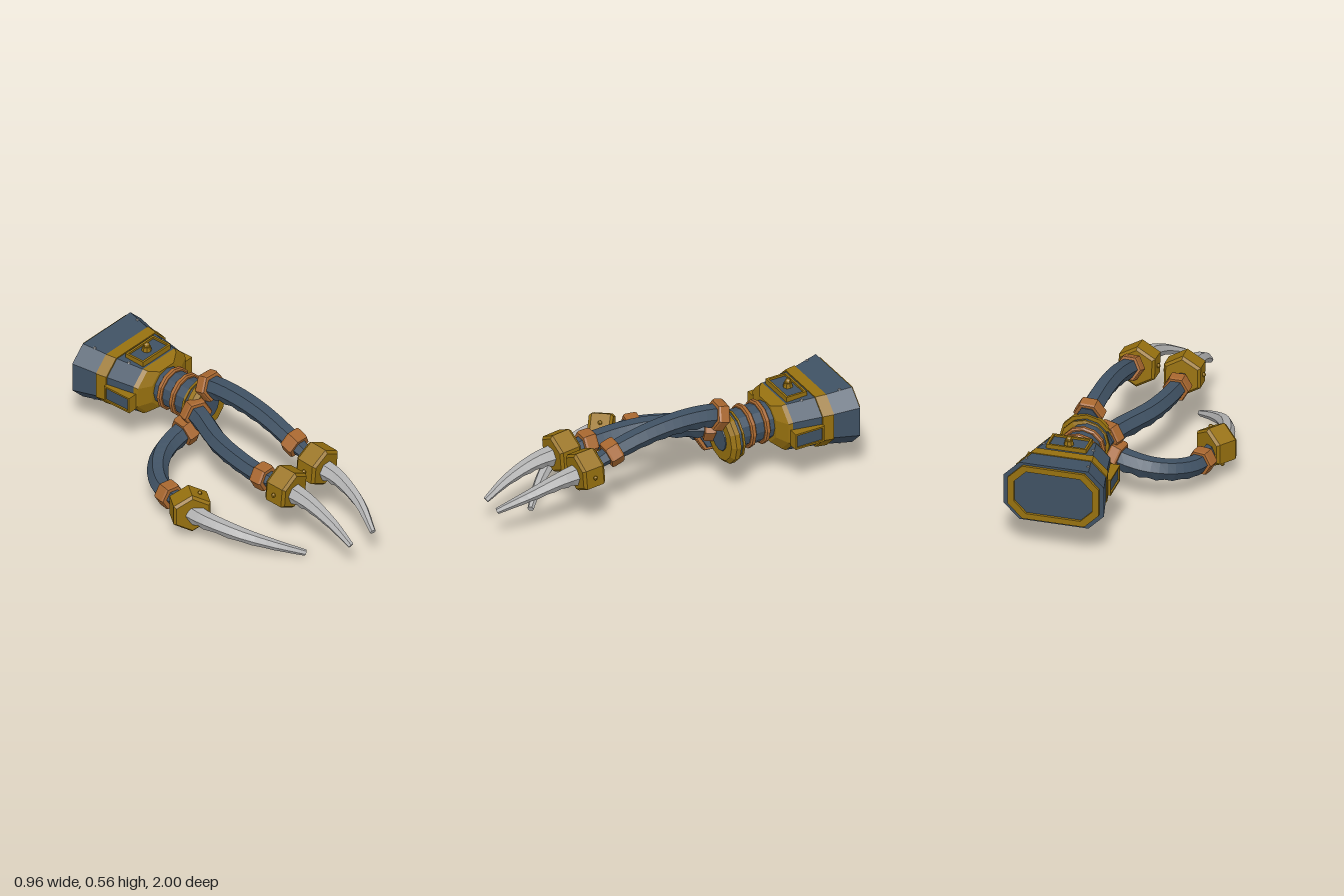
import * as THREE from 'three';

const mat = (name, color) => {
  const m = new THREE.MeshStandardMaterial({ color });
  m.name = name;
  m.flatShading = true;
  return m;
};
const V = (x, y, z) => new THREE.Vector3(x, y, z);
const UP = V(0, 1, 0);
const lerp = THREE.MathUtils.lerp;

// Closed faceted skin over a list of rings (each counter-clockwise seen from the far end)
function loft(rings) {
  const p = [];
  const tri = (...v) => v.forEach((q) => p.push(q.x, q.y, q.z));
  const n = rings[0].length;
  for (let i = 0; i < rings.length - 1; i++) {
    const a = rings[i], b = rings[i + 1];
    for (let j = 0; j < n; j++) {
      const k = (j + 1) % n;
      tri(a[j], a[k], b[k]);
      tri(a[j], b[k], b[j]);
    }
  }
  const first = rings[0], last = rings[rings.length - 1];
  for (let j = 1; j < n - 1; j++) {
    tri(first[0], first[j + 1], first[j]);
    tri(last[0], last[j], last[j + 1]);
  }
  const g = new THREE.BufferGeometry();
  g.setAttribute('position', new THREE.Float32BufferAttribute(p, 3));
  g.computeVertexNormals();
  return g;
}

// Regular ring around a centre, facing dir; under enlarges its lower half
function ring(c, dir, r, sides = 6, turn = 0, under = 1) {
  const t = dir.clone().normalize();
  const side = UP.clone().cross(t).normalize();
  const up = t.clone().cross(side);
  return Array.from({ length: sides }, (_, j) => {
    const a = turn + (j / sides) * Math.PI * 2;
    const s = Math.sin(a);
    return c.clone().addScaledVector(side, Math.cos(a) * r).addScaledVector(up, s * r * (s < -0.1 ? under : 1));
  });
}

// Short prism with a [offset, radius] profile along dir
const prism = (c, dir, profile, sides, turn) => loft(profile.map(([d, r]) =>
  ring(c.clone().addScaledVector(dir.clone().normalize(), d), dir, r, sides, turn)));

// Curved, tapering hexagonal limb with a ridged underside
function limb(curve, radius, steps, ridge) {
  const rings = [];
  for (let i = 0; i <= steps; i++) {
    const t = i / steps;
    rings.push(ring(curve.getPoint(t), curve.getTangent(t), radius(t), 6, 0, i % 2 ? 1 + ridge * (1 - t) : 1));
  }
  return loft(rings);
}

// Octagon with equal chamfers, centred on the forearm axis
const CX = 0.197, CY = 0.36;
const octPoints = (w, h, c) => [
  [w, -h + c], [w, h - c], [w - c, h], [-w + c, h], [-w, h - c], [-w, -h + c], [-w + c, -h], [w - c, -h]];
const octRing = (z, w, h, c) => octPoints(w, h, c).map(([x, y]) => V(CX + x, CY + y, z));

export function createModel() {
  const group = new THREE.Group();
  const steel = mat('blue steel', 0x3f5163);
  const brass = mat('brass', 0x96700f);
  const copper = mat('copper', 0xa8672f);
  const silver = mat('silver', 0xb2b2b2);
  const add = (name, geo, m, x = 0, y = 0, z = 0) => {
    const mesh = new THREE.Mesh(geo, m);
    mesh.name = name;
    mesh.position.set(x, y, z);
    group.add(mesh);
    return mesh;
  };
  const path = (pts) => new THREE.CatmullRomCurve3(pts.map((p) => V(...p)));

  // Flared forearm cuff with its brass band and shoulder
  add('cuff', loft([octRing(-0.985, 0.275, 0.17, 0.085), octRing(-0.82, 0.238, 0.15, 0.08),
    octRing(-0.62, 0.2, 0.14, 0.075)]), steel);
  add('cuffBand', loft([octRing(-0.842, 0.25, 0.157, 0.082), octRing(-0.78, 0.238, 0.154, 0.08)]), brass);
  add('cuffShoulder', loft([octRing(-0.62, 0.203, 0.143, 0.077), octRing(-0.6, 0.19, 0.132, 0.075),
    octRing(-0.565, 0.115, 0.112, 0.06)]), brass);

  // Open rim at the back of the cuff
  const rim = new THREE.Shape(octPoints(0.25, 0.157, 0.08).map((p) => new THREE.Vector2(...p)));
  rim.holes.push(new THREE.Path(octPoints(0.215, 0.125, 0.066).map((p) => new THREE.Vector2(...p))));
  add('rearRim', new THREE.ExtrudeGeometry(rim, { depth: 0.025, bevelEnabled: false }), brass, CX, CY, -1);

  // Rectangular frames on the sides and top
  const frame = (w, h, t, d) => {
    const s = new THREE.Shape([[-w, -h], [w, -h], [w, h], [-w, h]].map((p) => new THREE.Vector2(...p)));
    s.holes.push(new THREE.Path([[-w + t, -h + t], [-w + t, h - t], [w - t, h - t], [w - t, -h + t]]
      .map((p) => new THREE.Vector2(...p))));
    return new THREE.ExtrudeGeometry(s, { depth: d, bevelEnabled: false });
  };
  for (const s of [-1, 1]) {
    add('sideFrame', frame(0.088, 0.047, 0.01, 0.055), brass, CX + s * 0.197, 0.337, -0.695).rotation.y = s * Math.PI / 2;
    add('sidePanel', new THREE.BoxGeometry(0.05, 0.076, 0.16), steel, CX + s * 0.218, 0.337, -0.695);
  }
  add('topFrame', frame(0.11, 0.062, 0.012, 0.045), brass, CX, 0.486, -0.695).rotation.x = -Math.PI / 2;
  add('topPanel', new THREE.BoxGeometry(0.2, 0.035, 0.105), steel, CX, 0.502, -0.695);
  add('topKnobBase', new THREE.CylinderGeometry(0.022, 0.028, 0.03, 8), brass, CX, 0.53, -0.705);
  add('topKnob', new THREE.SphereGeometry(0.018, 8, 6), brass, CX, 0.55, -0.705);

  // Rivets on the cuff
  for (const sx of [-1, 1]) for (const sy of [-1, 1]) for (const [z, w, h] of [[-0.92, 0.17, 0.162], [-0.71, 0.135, 0.144]])
    add('rivet', new THREE.SphereGeometry(0.009, 6, 4), silver, CX + sx * w, CY + sy * h, z);

  // Ribbed wrist
  const FWD = V(0, 0, 1);
  add('wrist', prism(V(CX, CY, -0.46), FWD, [[-0.13, 0.105], [0.13, 0.105]], 12), steel);
  for (const z of [-0.52, -0.435])
    add('wristRing', prism(V(CX, CY, z), FWD, [[-0.016, 0.112], [-0.009, 0.122], [0.009, 0.122], [0.016, 0.112]], 12), copper);

  // Palm disc
  const palm = V(0.212, 0.343, -0.32);
  add('palmBack', prism(palm, FWD, [[-0.05, 0.115], [-0.042, 0.135], [-0.03, 0.135]], 12), brass);
  add('palmCore', prism(palm, FWD, [[-0.032, 0.128], [-0.005, 0.128]], 12), steel);
  add('palmDisc', prism(palm, FWD, [[-0.008, 0.15], [0.02, 0.15], [0.04, 0.128]], 12), brass);
  add('palmPlate', prism(palm, FWD, [[0.038, 0.075], [0.045, 0.072]], 12), steel);

  // Fingers: limb path, claw path, clamp position, knuckle centre, direction and bolt angle
  const fingers = [
    { name: 'leftFinger', clamp: 0.83, dir: V(0, -0.08, 1), head: V(0.17, 0.37, 0.51), bolt: 0,
      limb: [[0.212, 0.475, -0.31], [0.205, 0.5, -0.2], [0.197, 0.507, -0.03], [0.187, 0.485, 0.15], [0.174, 0.435, 0.33], [0.17, 0.385, 0.46]],
      claw: [[0.17, 0.36, 0.55], [0.167, 0.345, 0.67], [0.135, 0.285, 0.84], [0.068, 0.205, 0.99]] },
    { name: 'middleFinger', clamp: 0.84, dir: V(0.04, -0.08, 1), head: V(-0.078, 0.353, 0.51), bolt: 0,
      limb: [[0.12, 0.36, -0.32], [0.07, 0.367, -0.2], [-0.03, 0.37, 0], [-0.07, 0.362, 0.17], [-0.084, 0.35, 0.33], [-0.08, 0.35, 0.46]],
      claw: [[-0.082, 0.345, 0.55], [-0.085, 0.33, 0.68], [-0.086, 0.27, 0.84], [-0.083, 0.187, 0.97]] },
    { name: 'thumb', clamp: 0.83, dir: V(-0.6, 0, 0.8), head: V(-0.375, 0.18, 0.1), bolt: Math.PI / 3,
      limb: [[0.1, 0.28, -0.3], [-0.01, 0.25, -0.315], [-0.13, 0.222, -0.305], [-0.235, 0.197, -0.25], [-0.315, 0.178, -0.16], [-0.348, 0.174, -0.07], [-0.355, 0.178, 0.06]],
      claw: [[-0.395, 0.18, 0.13], [-0.39, 0.17, 0.23], [-0.325, 0.132, 0.43], [-0.225, 0.08, 0.57], [-0.115, 0.024, 0.68]] },
  ];
  for (const f of fingers) {
    const curve = path(f.limb);
    add(f.name + 'Limb', limb(curve, (t) => (t < f.clamp ? 0.06 - 0.008 * t : lerp(0.052, 0.034, (t - f.clamp) / (1 - f.clamp))), 18, 0.3), steel);

    // Copper collars at the root and before the knuckle
    for (const [t, r, d] of [[0.07, 0.085, 0.032], [f.clamp, 0.074, 0.038]])
      add(f.name + 'Collar', prism(curve.getPoint(t), curve.getTangent(t),
        [[-d, r * 0.93], [-d * 0.7, r], [d * 0.7, r], [d, r * 0.93]], 6, 0), copper);

    // Chamfered hexagonal knuckle with bolts
    add(f.name + 'Knuckle', prism(f.head, f.dir,
      [[-0.065, 0.1], [-0.05, 0.115], [0.05, 0.115], [0.065, 0.1]], 6, Math.PI / 6), brass);
    for (const p of ring(f.head, f.dir, 0.104, 2, f.bolt))
      add(f.name + 'Bolt', new THREE.SphereGeometry(0.012, 8, 6), brass, p.x, p.y, p.z);

    // Blunt curved claw
    add(f.name + 'Claw', limb(path(f.claw), (t) => lerp(0.053, 0.017, Math.pow(t, 1.2)), 12, 0.3), silver);
  }
  return group;
}
